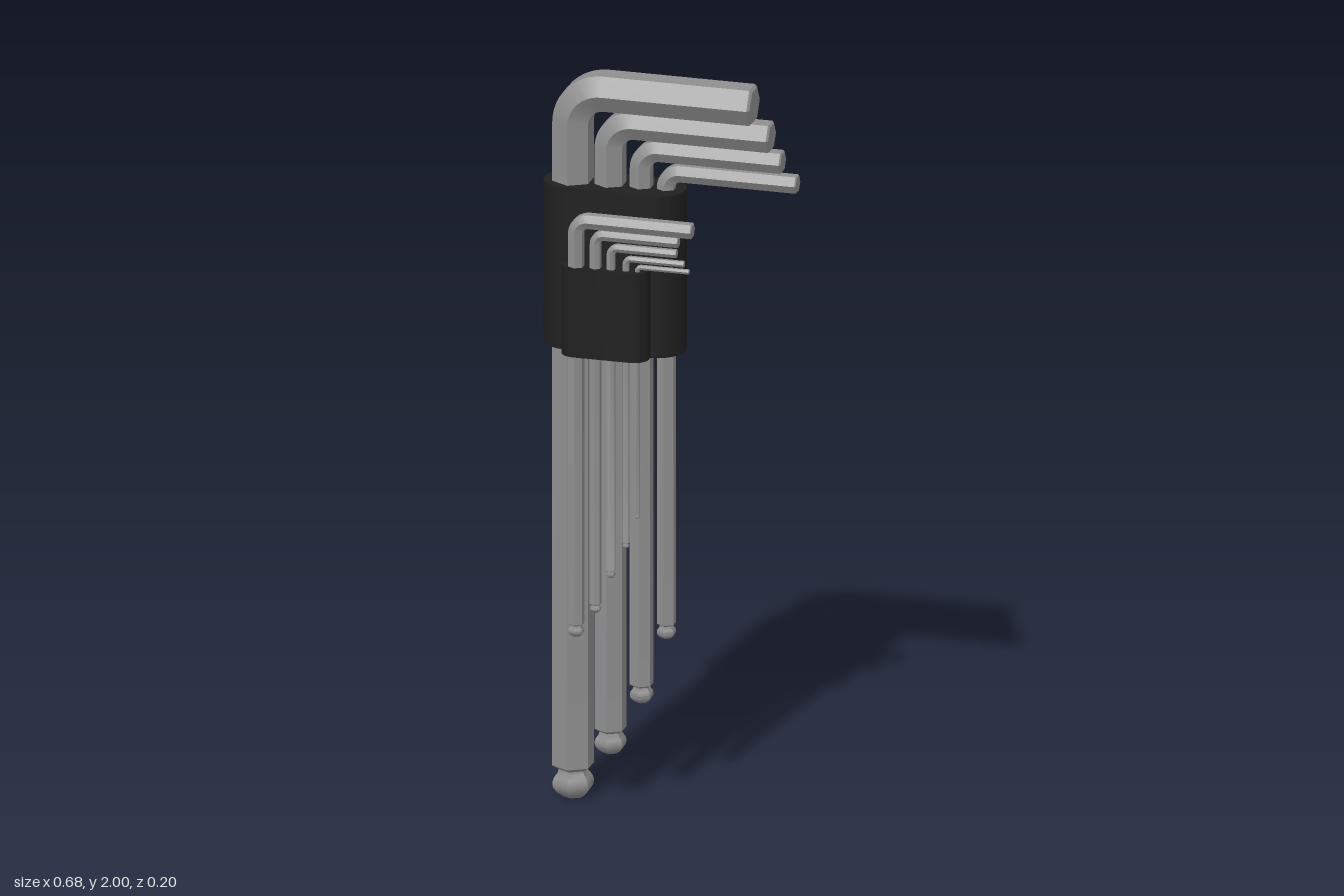
import * as THREE from 'three';
import { toCreasedNormals } from 'three/addons/utils/BufferGeometryUtils.js';

// Hexagonal L-shaped key: ball tip at the bottom, bend, arm towards +x.
// x: shaft centre, bottom: tip height, armY: arm centre, end: arm tip, R: corner radius
function hexKeyGeometry(x, bottom, armY, end, R) {
  const rings = []; // [x, y, bend angle, scale]
  // ball end: height and width, both in units of R
  const ball = [[0, 0.5], [0.2, 0.78], [0.45, 0.96], [0.7, 1], [0.95, 0.92],
    [1.2, 0.72], [1.35, 0.7], [1.55, 1]];
  for (const [h, s] of ball) rings.push([x, bottom + h * R, 0, s]);
  // bend
  const bend = 1.6 * R, steps = 12;
  for (let i = 0; i <= steps; i++) {
    const a = (i / steps) * Math.PI / 2;
    rings.push([x + bend * (1 - Math.cos(a)), armY - bend * (1 - Math.sin(a)), a, 1]);
  }
  // chamfered arm tip
  rings.push([end - 0.12 * R, armY, Math.PI / 2, 1]);
  rings.push([end, armY, Math.PI / 2, 0.86]);

  const pos = [], index = [];
  for (const [px, py, a, s] of rings) {
    for (let k = 0; k < 6; k++) {
      const t = k * Math.PI / 3;
      const n = -Math.sin(t) * R * s;
      pos.push(px - Math.cos(a) * n, py + Math.sin(a) * n, Math.cos(t) * R * s);
    }
  }
  const last = (rings.length - 1) * 6;
  for (let i = 0; i < last; i += 6) {
    for (let k = 0; k < 6; k++) {
      const a = i + k, b = i + (k + 1) % 6;
      index.push(a, b, b + 6, a, b + 6, a + 6);
    }
  }
  for (let k = 1; k < 5; k++) {
    index.push(0, k + 1, k);
    index.push(last, last + k, last + k + 1);
  }
  const g = new THREE.BufferGeometry();
  g.setAttribute('position', new THREE.Float32BufferAttribute(pos, 3));
  g.setIndex(index);
  return toCreasedNormals(g, 0.7);
}

// Plan outline (x, -z) extruded upwards from y0 to y1
function uprightBlock(shape, y0, y1) {
  const g = new THREE.ExtrudeGeometry(shape, { depth: y1 - y0, bevelEnabled: false, curveSegments: 8 });
  g.rotateX(-Math.PI / 2);
  g.translate(0, y0, 0);
  return toCreasedNormals(g, 0.6);
}

export function createModel() {
  const model = new THREE.Group();
  model.name = 'hexKeySet';

  const steel = new THREE.MeshStandardMaterial({ color: 0x8f8f8f });
  steel.name = 'steel grey';
  const plastic = new THREE.MeshStandardMaterial({ color: 0x1f1f1f });
  plastic.name = 'black plastic';

  const add = (name, geometry, material, z = 0) => {
    const mesh = new THREE.Mesh(geometry, material);
    mesh.name = name;
    mesh.position.z = z;
    model.add(mesh);
  };

  // Large keys in the rear row
  const large = [
    [-0.265, 0, 1.952, 0.225, 0.056],
    [-0.164, 0.13, 1.869, 0.272, 0.043],
    [-0.08, 0.277, 1.803, 0.302, 0.032],
    [-0.013, 0.46, 1.746, 0.342, 0.026],
  ];
  large.forEach((k, i) => add(`largeKey${i + 1}`, hexKeyGeometry(...k), steel, -0.029));

  // Small keys in the front row
  const small = [
    [-0.227, 0.48, 1.627, 0.088, 0.022],
    [-0.175, 0.55, 1.592, 0.05, 0.0155],
    [-0.133, 0.65, 1.56, 0.045, 0.012],
    [-0.093, 0.735, 1.533, 0.065, 0.009],
    [-0.062, 0.82, 1.513, 0.078, 0.007],
  ];
  small.forEach((k, i) => add(`smallKey${i + 1}`, hexKeyGeometry(...k), steel, 0.074));

  // Rear holder: stadium outline
  const r = 0.074;
  const rear = new THREE.Shape();
  rear.absarc(-0.342 + r, 0.029, r, Math.PI / 2, Math.PI * 1.5);
  rear.absarc(0.039 - r, 0.029, r, -Math.PI / 2, Math.PI / 2);
  rear.closePath();
  add('rearHolder', uprightBlock(rear, 1.255, 1.7), plastic);

  // Front holder: rounded front corners, joined to the rear holder
  const front = new THREE.Shape();
  front.moveTo(-0.27, -0.02);
  front.absarc(-0.23, -0.058, 0.04, Math.PI, Math.PI * 1.5);
  front.absarc(-0.075, -0.058, 0.04, -Math.PI / 2, 0);
  front.lineTo(-0.035, -0.02);
  front.closePath();
  add('frontHolder', uprightBlock(front, 1.255, 1.5), plastic);

  return model;
}
